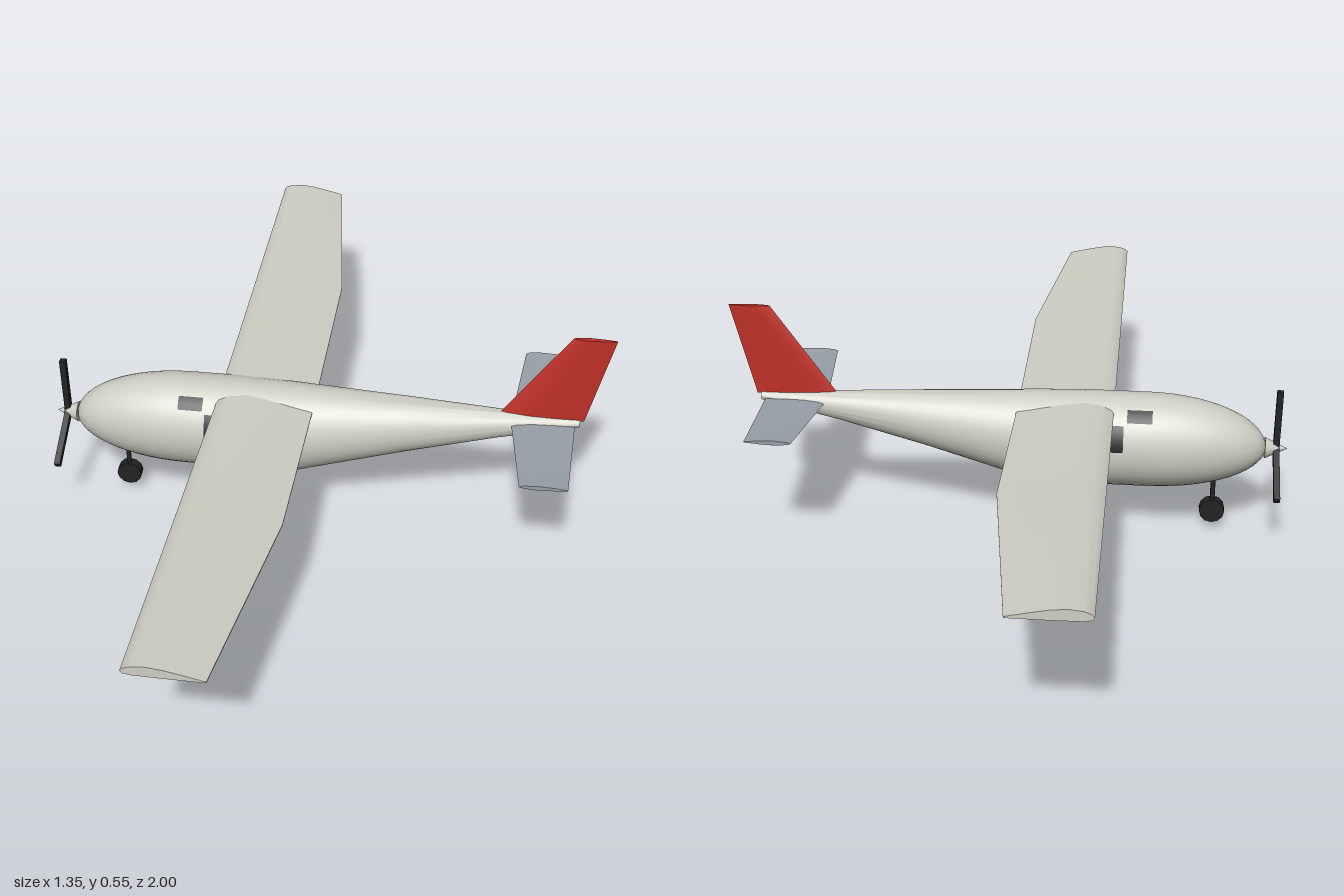
import * as THREE from 'three';
import { toCreasedNormals } from 'three/addons/utils/BufferGeometryUtils.js';

const material = (name, color, side = THREE.FrontSide) => {
  const m = new THREE.MeshStandardMaterial({ color, side });
  m.name = name;
  return m;
};

// Skin through closed rings of [x, y, z], each running counter-clockwise about the sweep direction.
function loft(rings, crease) {
  const n = rings[0].length, last = (rings.length - 1) * n;
  const points = rings.flat(), index = [];
  for (let r = 0; r < rings.length - 1; r++) {
    for (let i = 0; i < n; i++) {
      const a = r * n + i, b = r * n + (i + 1) % n;
      index.push(a, b, a + n, b, b + n, a + n);
    }
  }
  for (const [base, flip] of [[0, true], [last, false]]) {
    const ring = points.slice(base, base + n);
    const c = points.push([0, 1, 2].map(k => ring.reduce((s, p) => s + p[k], 0) / n)) - 1;
    for (let i = 0; i < n; i++) {
      const a = base + i, b = base + (i + 1) % n;
      index.push(c, flip ? b : a, flip ? a : b);
    }
  }
  const g = new THREE.BufferGeometry();
  g.setAttribute('position', new THREE.Float32BufferAttribute(points.flat(), 3));
  g.setIndex(index);
  return toCreasedNormals(g, crease);
}

// Fuselage stations: x, top, bottom, half width
const NOSE = -0.625, SHOULDER = -0.34;
const STATIONS = [
  [SHOULDER, 0.352, 0.118, 0.105], [-0.2, 0.352, 0.118, 0.105], [-0.07, 0.349, 0.118, 0.096],
  [-0.03, 0.347, 0.13, 0.091], [0.2, 0.338, 0.198, 0.062], [0.42, 0.328, 0.256, 0.033], [0.61, 0.319, 0.298, 0.009],
];
function section(x) {
  let top, bottom, rz;
  if (x < SHOULDER) {
    const s = Math.sqrt(Math.max(0, 1 - ((SHOULDER - x) / (SHOULDER - NOSE)) ** 2));
    top = 0.225 + 0.127 * s;
    bottom = 0.225 - 0.107 * s;
    rz = 0.105 * s;
  } else {
    const i = Math.min(STATIONS.length - 2, STATIONS.findLastIndex(s => s[0] <= x));
    const a = STATIONS[i], b = STATIONS[i + 1], t = (x - a[0]) / (b[0] - a[0]);
    [top, bottom, rz] = [1, 2, 3].map(k => a[k] + (b[k] - a[k]) * t);
  }
  return { cy: (top + bottom) / 2, ry: (top - bottom) / 2, rz };
}
function fuselageGeometry() {
  const xs = [];
  for (let i = 0; i < 14; i++) xs.push(SHOULDER - (SHOULDER - NOSE) * Math.cos((i + 0.04) / 14 * Math.PI / 2));
  xs.push(...STATIONS.map(s => s[0]));
  return loft(xs.map(x => {
    const { cy, ry, rz } = section(x);
    return Array.from({ length: 40 }, (_, i) => {
      const a = i / 40 * Math.PI * 2;
      return [x, cy + ry * Math.cos(a), rz * Math.sin(a)];
    });
  }), 0.7);
}

// Thin window that follows the fuselage side
function windowGeometry(x0, x1, y0, y1, side) {
  const g = new THREE.PlaneGeometry(x1 - x0, y1 - y0, 10, 8);
  g.translate((x0 + x1) / 2, (y0 + y1) / 2, 0);
  const p = g.attributes.position;
  for (let i = 0; i < p.count; i++) {
    const { cy, ry, rz } = section(p.getX(i));
    const v = (p.getY(i) - cy) / ry;
    p.setZ(i, side * (rz * Math.sqrt(Math.max(0, 1 - v * v)) + 0.003));
  }
  // Reverse the faces on the far side so they look outward
  if (side < 0) {
    const ix = g.index;
    for (let i = 0; i < ix.count; i += 3) {
      const t = ix.getX(i);
      ix.setX(i, ix.getX(i + 1));
      ix.setX(i + 1, t);
    }
  }
  g.computeVertexNormals();
  return g;
}

// Cross-sections as [chord fraction, height], counter-clockwise
const AIRFOIL = [[1, 0.003], [0.75, 0.013], [0.5, 0.022], [0.3, 0.026], [0.12, 0.023], [0.03, 0.017],
  [0, 0.011], [0.03, 0.004], [0.12, 0.001], [0.5, 0], [1, 0]];
const LENS = [[1, 0.001], [0.7, 0.005], [0.35, 0.007], [0.08, 0.004], [0, 0], [0.08, -0.004],
  [0.35, -0.007], [0.7, -0.005], [1, -0.001]];

function strut(from, to, radius, mat) {
  const a = new THREE.Vector3(...from), d = new THREE.Vector3(...to).sub(a);
  const m = new THREE.Mesh(new THREE.CylinderGeometry(radius, radius, d.length(), 12), mat);
  m.position.copy(a).addScaledVector(d, 0.5);
  m.quaternion.setFromUnitVectors(new THREE.Vector3(0, 1, 0), d.normalize());
  return m;
}

export function createModel() {
  const model = new THREE.Group();
  model.name = 'airplane';
  const body = material('body off-white', 0xcfcec4);
  const tailGrey = material('tail grey', 0x98a0a8);
  const red = material('fin red', 0xc03028);
  const black = material('black', 0x222222);
  const metal = material('strut metal', 0xb4b4b4);
  const add = (name, geometry, mat, ...pos) => {
    const m = new THREE.Mesh(geometry, mat);
    m.name = name;
    m.position.set(...(pos.length ? pos : [0, 0, 0]));
    model.add(m);
    return m;
  };

  add('fuselage', fuselageGeometry(), body);

  // Wing: straight leading edge, outer panels tapering from behind, slight dihedral
  const wing = [-1, -0.5, 0, 0.5, 1].map(z => {
    const chord = Math.abs(z) > 0.6 ? 0.168 : 0.233;
    return AIRFOIL.map(([u, t]) => [-0.258 + u * chord, 0.315 + 0.036 * Math.abs(z) + t, z]);
  });
  add('wing', loft(wing, 0.5), body);

  // Tailplane and fin
  const tail = [-0.275, 0, 0.275].map(z => {
    const [x, chord, y] = z ? [0.475, 0.11, 0.317] : [0.447, 0.153, 0.303];
    return LENS.map(([u, t]) => [x + u * chord, y + t * 0.8, z]);
  });
  add('tailplane', loft(tail, 0.5), tailGrey);
  const fin = [[0.415, 0.205, 0.316], [0.575, 0.1, 0.546]].map(([x, chord, y]) =>
    LENS.map(([u, t]) => [x + u * chord, y, -t]));
  add('fin', loft(fin, 0.5), red);

  // Windows on both sides
  for (const side of [1, -1]) {
    add('cabinWindow', windowGeometry(-0.283, -0.075, 0.247, 0.307, side), black);
    add('cockpitWindow', windowGeometry(-0.35, -0.29, 0.313, 0.336, side), black);
  }

  // Propeller
  const spinner = add('spinner', new THREE.ConeGeometry(0.026, 0.055, 20), body, -0.65, 0.225, 0);
  spinner.rotation.z = Math.PI / 2;
  for (let i = 0; i < 3; i++) {
    const blade = new THREE.BoxGeometry(0.015, 0.145, 0.016).translate(0, 0.0775, 0);
    add('propellerBlade', blade, black, -0.65, 0.225, 0).rotation.x = i * Math.PI * 2 / 3;
  }

  // Landing gear
  const wheel = (name, r, width, ...pos) => {
    const g = new THREE.CylinderGeometry(r, r, width, 12).rotateX(Math.PI / 2);
    add(name, g, black, ...pos);
  };
  wheel('noseWheel', 0.031, 0.024, -0.505, 0.05, 0);
  const noseStrut = strut([-0.505, 0.05, 0], [-0.505, 0.16, 0], 0.006, black);
  noseStrut.name = 'noseStrut';
  model.add(noseStrut);
  for (const side of [1, -1]) {
    wheel('mainWheel', 0.032, 0.022, -0.138, 0.032, side * 0.21);
    const leg = strut([-0.138, 0.145, side * 0.06], [-0.138, 0.035, side * 0.21], 0.006, metal);
    leg.name = 'mainStrut';
    model.add(leg);
  }
  return model;
}
